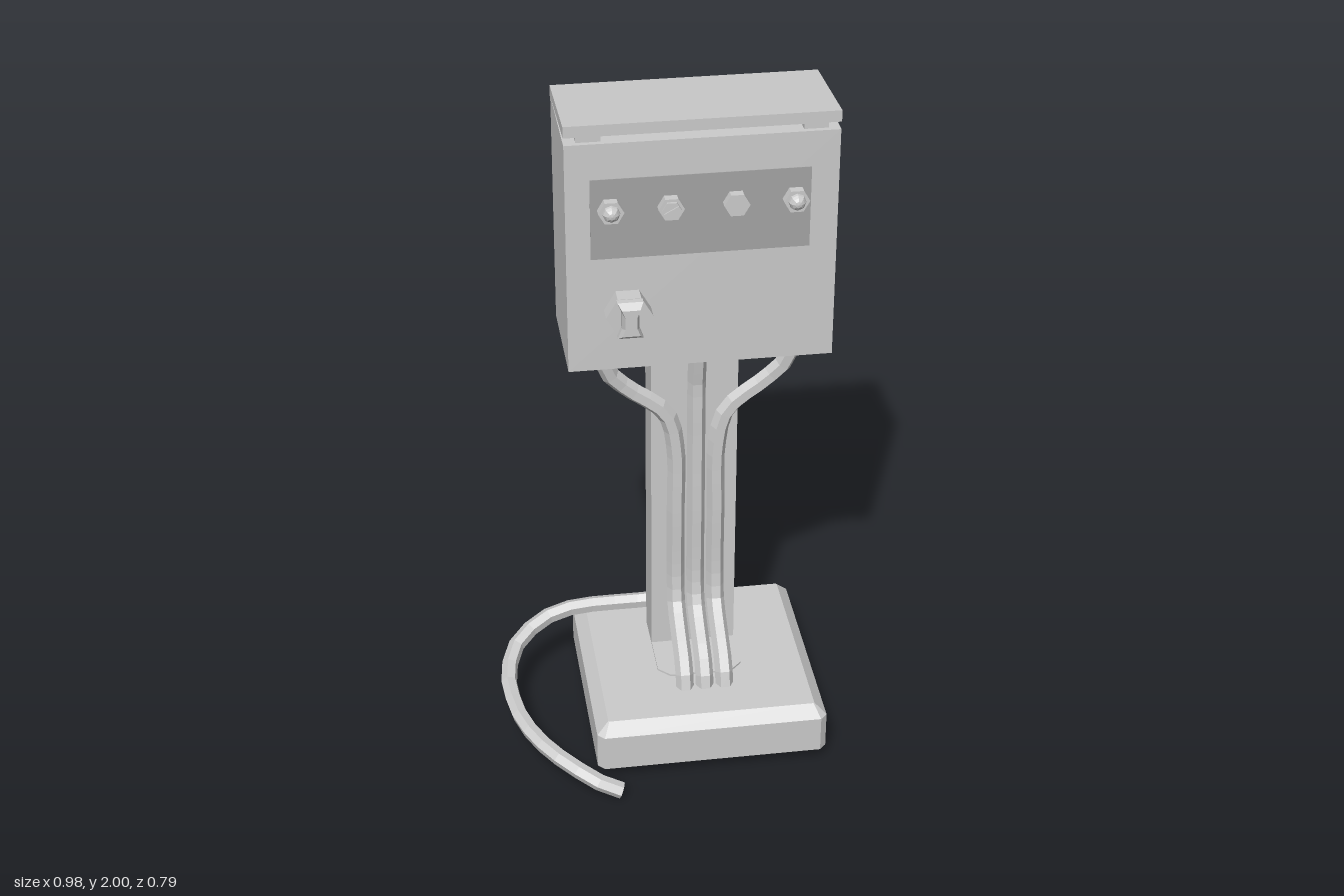
import * as THREE from 'three';

const grey = new THREE.MeshStandardMaterial({ color: 0xcccccc, flatShading: true });
const darkGrey = new THREE.MeshStandardMaterial({ color: 0xa4a4a4, flatShading: true });
const CX = 0.11; // middle of the cabinet, post and base

export function createModel() {
  const model = new THREE.Group();

  const add = (name, geometry, material = grey) => {
    const mesh = new THREE.Mesh(geometry, material);
    mesh.name = name;
    model.add(mesh);
    return mesh;
  };
  // box given by its lower and upper limits
  const box = (name, [x0, y0, z0], [x1, y1, z1], material) => {
    const g = new THREE.BoxGeometry(x1 - x0, y1 - y0, z1 - z0);
    g.translate((x0 + x1) / 2, (y0 + y1) / 2, (z0 + z1) / 2);
    return add(name, g, material);
  };
  // six-sided disc facing the front, with points to the sides
  const hex = (name, x, y, z0, z1, r0, r1 = r0) => {
    const g = new THREE.CylinderGeometry(r1, r0, z1 - z0, 6);
    g.rotateY(Math.PI / 6).rotateX(Math.PI / 2).translate(x, y, (z0 + z1) / 2);
    return add(name, g);
  };
  // six-sided cable with closed ends
  const cable = (name, points, radius, segments) => {
    const curve = new THREE.CatmullRomCurve3(points.map((p) => new THREE.Vector3(...p)), false, 'centripetal');
    add(name, new THREE.TubeGeometry(curve, segments, radius, 6));
    for (const t of [0, 1]) {
      const cap = add(name + 'End', new THREE.CircleGeometry(radius * 0.98, 6));
      const p = curve.getPoint(t);
      cap.position.copy(p);
      cap.lookAt(p.add(curve.getTangent(t).multiplyScalar(t ? 1 : -1)));
    }
  };

  // hollow base: square rings with cut corners, from the ceiling inside out to the top
  const rings = [ // half width, corner cut, height
    [0, 0, 0.17], [0.3, 0.005, 0.17], [0.33, 0.02, 0.145], [0.33, 0.02, 0.045],
    [0.345, 0.02, 0.045], [0.345, 0.02, 0.16], [0.31, 0.003, 0.195], [0, 0, 0.195],
  ];
  const pos = [], index = [];
  rings.forEach(([h, k, y], i) => {
    const m = h - k;
    const corners = [[h, -m], [h, m], [m, h], [-m, h], [-h, m], [-h, -m], [-m, -h], [m, -h]];
    corners.forEach(([x, z], j) => {
      pos.push(CX + x, y, z - 0.055);
      if (i === rings.length - 1) return;
      const a = i * 8 + j, b = i * 8 + (j + 1) % 8;
      index.push(a, a + 8, b, b, a + 8, b + 8);
    });
  });
  const baseGeometry = new THREE.BufferGeometry();
  baseGeometry.setAttribute('position', new THREE.Float32BufferAttribute(pos, 3));
  baseGeometry.setIndex(index);
  baseGeometry.computeVertexNormals();
  add('base', baseGeometry);

  // thin foot plate under the cables, with cut front corners
  const plate = new THREE.Shape([
    [-0.02, 0.12], [0.235, 0.12], [0.235, -0.03], [0.2, -0.065], [0.015, -0.065], [-0.02, -0.03],
  ].map((p) => new THREE.Vector2(...p)));
  const plateGeometry = new THREE.ExtrudeGeometry(plate, { depth: 0.006, bevelEnabled: false });
  add('footPlate', plateGeometry.rotateX(-Math.PI / 2).translate(0, 0.195, 0));

  box('post', [-0.02, 0.17, -0.225], [0.235, 1.26, -0.105]);

  // cabinet with its slightly raised lid
  box('cabinet', [-0.268, 1.25, -0.33], [0.485, 1.945, 0]);
  const lid = new THREE.Shape([
    [0, 1.967], [0.05, 1.965], [0.29, 1.951], [0.295, 1.935], [0.332, 1.932], [0.332, 1.976], [0, 2],
  ].map((p) => new THREE.Vector2(...p)));
  const lidGeometry = new THREE.ExtrudeGeometry(lid, { depth: 0.755, bevelEnabled: false });
  add('lid', lidGeometry.rotateY(Math.PI / 2).translate(-0.269, 0, 0));
  for (const s of [-1, 1]) {
    const x = CX + s * 0.31;
    box('lidSpacer', [x - 0.034, 1.94, -0.045], [x + 0.034, 1.968, -0.015]);
  }
  for (const s of [-1, 0, 1]) {
    const x = CX + s * 0.263;
    box('hinge', [x - 0.014, 1.915, -0.341], [x + 0.014, 1.95, -0.325]);
  }

  // control strip: four hexagonal fittings, two of them with domed lamps
  box('controlStrip', [-0.2, 1.6, -0.01], [0.408, 1.84, 0.002], darkGrey);
  [-0.145, 0.02, 0.2, 0.365].forEach((x, i) => {
    hex('fitting', x, 1.75, 0, 0.028, 0.036);
    if (i === 0 || i === 3) {
      const dome = new THREE.SphereGeometry(0.025, 8, 4, 0, Math.PI * 2, 0, Math.PI / 2);
      add('lamp', dome.rotateX(Math.PI / 2).translate(x, 1.75, 0.026));
    }
  });
  hex('keySwitch', 0.02, 1.75, 0.028, 0.036, 0.027);
  const key = add('keySlot', new THREE.BoxGeometry(0.046, 0.009, 0.006));
  key.position.set(0.02, 1.75, 0.037);
  key.rotation.z = 0.5;

  // rotary selector with a waisted grip that narrows to the front
  hex('selector', -0.1, 1.44, 0, 0.05, 0.066);
  const grip = new THREE.Shape([
    [-0.036, -0.056], [0.036, -0.056], [0.024, -0.025], [0.024, 0.025],
    [0.036, 0.056], [-0.036, 0.056], [-0.024, 0.025], [-0.024, -0.025],
  ].map((p) => new THREE.Vector2(...p)));
  const gripGeometry = new THREE.ExtrudeGeometry(grip, { depth: 0.04, steps: 2, bevelEnabled: false });
  const gp = gripGeometry.attributes.position;
  for (let i = 0; i < gp.count; i++) {
    if (gp.getZ(i) > 0.03) gp.setXY(i, gp.getX(i) * 0.7, gp.getY(i) * 0.72);
  }
  add('selectorGrip', gripGeometry.translate(-0.1, 1.44, 0.048));

  // three front cables; the outer two spread towards the cabinet
  for (const s of [-1, 0, 1]) {
    const at = (spread, y, z) => [CX + s * spread, y, z];
    cable('frontCable', [
      at(0.06, 0.14, 0.118), at(0.06, 0.2, 0.118), at(0.06, 0.255, 0.09), at(0.06, 0.32, 0),
      at(0.06, 0.37, -0.06), at(0.06, 0.44, -0.08), at(0.06, 0.7, -0.082), at(0.062, 0.93, -0.085),
      at(0.09, 1.04, -0.085), at(0.21, 1.14, -0.085), at(0.26, 1.2, -0.075), at(0.272, 1.27, -0.065),
    ], 0.027, 28);
  }

  // supply cable down the back of the post and round to the floor in front
  cable('supplyCable', [
    [CX, 1.27, -0.28], [CX, 1.0, -0.275], [CX, 0.7, -0.265], [CX, 0.42, -0.27],
    [0.095, 0.29, -0.28], [0.04, 0.235, -0.29], [-0.08, 0.228, -0.295], [-0.25, 0.228, -0.285],
    [-0.34, 0.212, -0.26], [-0.43, 0.175, -0.19], [-0.465, 0.14, -0.09], [-0.463, 0.125, 0],
    [-0.44, 0.11, 0.11], [-0.385, 0.095, 0.22], [-0.305, 0.075, 0.31], [-0.22, 0.04, 0.36], [-0.175, 0.025, 0.37],
  ], 0.025, 32);

  return model;
}
